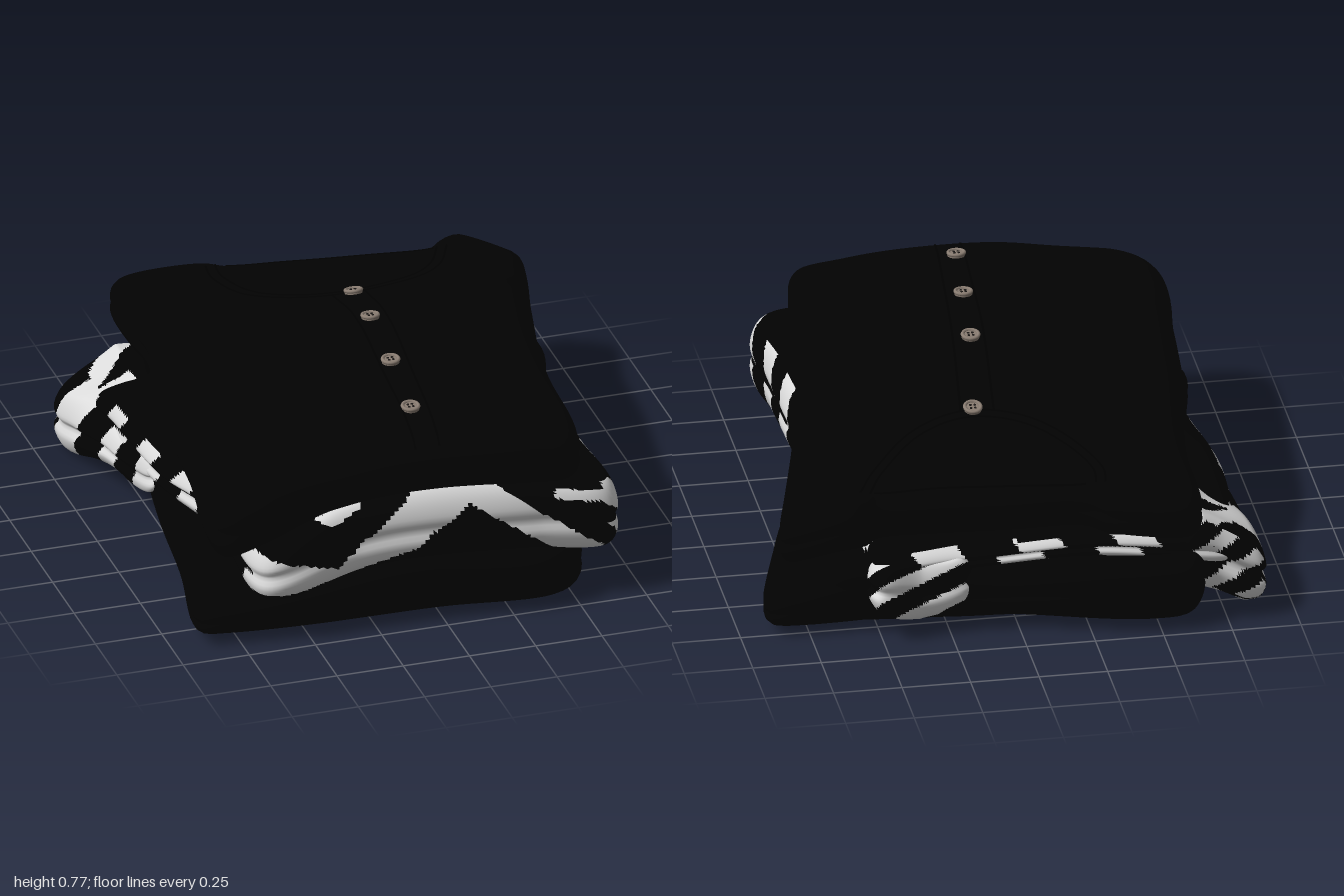
import * as THREE from 'three';

const mat = (name, color) => Object.assign(new THREE.MeshStandardMaterial({ color }), { name });
const step = THREE.MathUtils.smoothstep;

// piecewise linear lookup in a short list of [position, value]
function lookup(list, t) {
  if (t <= list[0][0]) return list[0][1];
  for (let i = 1; i < list.length; i++) {
    const [a, va] = list[i - 1], [b, vb] = list[i];
    if (t <= b) return va + (vb - va) * (t - a) / (b - a);
  }
  return list[list.length - 1][1];
}

// heights of the draped fabric layers
const acrossX = [[-0.85, 0.55], [-0.7, 0.645], [-0.4, 0.7], [-0.2, 0.745], [0, 0.765], [0.2, 0.735], [0.4, 0.69], [0.6, 0.66], [0.7, 0.6], [0.86, 0.51]];
const alongZ = [[-1, 0.56], [-0.6, 0.585], [-0.3, 0.675], [-0.1, 0.735], [0.15, 0.765], [0.4, 0.75], [0.7, 0.735], [0.85, 0.71], [0.95, 0.67]];
const soft = (list, t) => [-0.06, -0.03, 0, 0.03, 0.06].reduce((s, d) => s + lookup(list, t + d) / 5, 0);
const drop = (x, z) => Math.hypot(0.765 - soft(acrossX, x), 0.765 - soft(alongZ, z));
const ripple = (x, z) => 0.006 * Math.sin(7 * x + 3 * z) + 0.005 * Math.sin(9 * z - 4 * x + 1);
const shoulder = (x, z) => 0.035 * step(x, 0.54, 0.64) * step(-z, 0.5, 0.75);
const upperTop = (x, z) => 0.763 - drop(x, z) + ripple(x, z) * 0.6 + shoulder(x, z);
const upperBase = (x, z) => 0.55 - 0.85 * drop(x, z) + ripple(x, z) - 0.08 * step(-x, 0.4, 0.8) * step(z, -0.6, 0.2);
const lowerTop = (x, z) => 0.31 - 0.14 * x * x - 0.07 * z * z + ripple(x, z);
const middleTop = (x, z) => upperBase(x, z) + 0.015 - 0.07 * step(-z, 0.3, 0.7);

// cushion of folded cloth: outline runs counterclockwise from above, rim is rounded with a fold groove
function foldedCloth({ outline, centre = [0, 0], top, base, rim, groove, sides, isLight }) {
  const curve = new THREE.CatmullRomCurve3(outline.map(([x, z]) => new THREE.Vector3(x, 0, z)), true);
  const edge = curve.getSpacedPoints(sides).slice(0, sides);
  const rings = [];
  for (let i = 0; i < 14; i++) rings.push({ s: i / 14, inset: rim, f: 1 });
  for (let i = 0; i <= 28; i++) {
    const a = Math.PI * (0.5 - i / 28), f = 0.5 + 0.5 * Math.sin(a);
    const inset = rim * (1 - Math.pow(Math.cos(a) + 1e-9, 0.8)) + groove * Math.exp(-(((f - 0.5) / 0.1) ** 2));
    rings.push({ s: 1, inset, f });
  }
  for (let i = 7; i >= 0; i--) rings.push({ s: i / 8, inset: rim, f: 0 });

  const pos = [];
  for (const { s, inset, f } of rings) {
    for (const p of edge) {
      const dx = p.x - centre[0], dz = p.z - centre[1], len = Math.hypot(dx, dz);
      const k = s * (len - inset) / len;
      const x = centre[0] + dx * k, z = centre[1] + dz * k;
      const lo = base(x, z), hi = Math.max(top(x, z), lo + 0.04);
      pos.push(x, lo + (hi - lo) * f, z);
    }
  }
  const dark = [], light = [];
  const mid = (t, c) => (pos[t[0] * 3 + c] + pos[t[1] * 3 + c] + pos[t[2] * 3 + c]) / 3;
  for (let i = 0; i < rings.length - 1; i++) {
    for (let j = 0; j < sides; j++) {
      const n = (j + 1) % sides;
      const a = i * sides + j, b = a + sides, c = (i + 1) * sides + n, d = i * sides + n;
      for (const t of [[a, b, c], [a, c, d]]) {
        (isLight && isLight(mid(t, 0), mid(t, 1), mid(t, 2)) ? light : dark).push(...t);
      }
    }
  }
  const g = new THREE.BufferGeometry();
  g.setAttribute('position', new THREE.Float32BufferAttribute(pos, 3));
  g.setIndex(dark.concat(light));
  g.addGroup(0, dark.length, 0);
  if (light.length) g.addGroup(dark.length, light.length, 1);
  g.computeVertexNormals();
  return g;
}

// chevron on the front fold, two rows of slanted bands around the other sides
const bandUpper = [[-0.7, 0.36], [-0.4, 0.27], [-0.1, 0.51], [0.2, 0.5], [0.43, 0.33], [0.62, 0.2]];
const bandLower = [[-0.7, 0.2], [-0.55, 0.2], [-0.3, 0.24], [-0.1, 0.3], [0.1, 0.45], [0.42, 0.22], [0.62, 0.18]];
const fract = t => t - Math.floor(t);
function chevron(x, y, z) {
  if (z > 0.87 && x < 0.6) {
    if (y > lookup(bandLower, x) && y < lookup(bandUpper, x)) return true;
    return y > 0.435 + 0.4 * Math.abs(x + 0.41) && x < -0.3 || (x > 0.42 && y > 0.5 - 0.18 * x && y < 0.53 - 0.17 * x);
  }
  const hi = middleTop(x, z), lo = lowerTop(x, z), h = (y - lo) / (hi - lo);
  if (h > (x > 0 ? 0.985 : 0.9) || Math.abs(h - 0.45) < 0.04) return false;
  const along = z < -0.78 ? x * 0.8 : z;
  return fract((along - (h > 0.45 ? 0.8 * (y - lo) - 0.09 : 0.5 * (y - lo)) - 0.21) / 0.29) < 0.45;
}
function sleeveBands(x, y, z) {
  if (z < -0.79) return fract((y + 0.5 * x) / 0.14) < 0.45;
  const t = z + 0.35 * (0.25 - y);
  if (z > -0.46) return x < -0.79 && (Math.abs(t + 0.29) < 0.06 || Math.abs(t + 0.02) < 0.06);
  if (x < -0.8) return t > -0.7 && t < -0.52;
  return Math.abs(z + 0.62 + 0.9 * (x + 0.85)) < 0.06 || (x < -0.69 && Math.abs(z + 0.55) < 0.045);
}
const cuffBands = (x, y, z) => fract((y + 0.5 * x + 0.8 * z) / 0.15) < 0.45;

export function createModel() {
  const model = new THREE.Group();
  model.name = 'foldedShirts';
  const black = mat('blackCloth', 0x020202);
  const seamBlack = mat('seamBlack', 0x000000);
  const white = mat('whiteStripe', 0xdadada);
  const horn = mat('buttonHorn', 0x8a7d72);
  const hole = mat('buttonHole', 0x1c1917);
  const add = (name, geometry, material, parent = model) => {
    const m = new THREE.Mesh(geometry, material);
    m.name = name;
    parent.add(m);
    return m;
  };

  // bottom plain shirt and the roll of cloth behind it
  add('bottomShirt', foldedCloth({
    outline: [[-0.91, 0.82], [-0.9, 0.885], [-0.82, 0.91], [-0.5, 0.95], [0, 0.97], [0.42, 1], [0.53, 0.92], [0.6, 0.4], [0.68, 0.05], [0.81, -0.35],
      [0.91, -0.7], [0.9, -0.77], [0.8, -0.79], [0.4, -0.79], [0, -0.8], [-0.5, -0.82], [-0.66, -0.8], [-0.7, -0.5], [-0.8, 0.1], [-0.85, 0.5]],
    top: lowerTop, base: () => 0.03, rim: 0.08, groove: 0.01, sides: 180,
  }), [black]);
  add('bottomCollarRoll', foldedCloth({
    outline: [[-0.66, -0.6], [0, -0.6], [0.7, -0.6], [0.72, -0.74], [0.3, -0.83], [-0.1, -0.9], [-0.5, -0.98], [-0.64, -0.95]],
    centre: [0, -0.72],
    top: (x, z) => 0.24 + ripple(x, z), base: () => 0.05, rim: 0.06, groove: 0.012, sides: 120,
  }), [black]);

  // striped shirt in the middle
  add('stripedShirt', foldedCloth({
    outline: [[-0.67, 0.96], [-0.3, 0.95], [0, 0.96], [0.35, 0.97], [0.65, 0.96], [0.665, 0.6], [0.66, 0.2], [0.62, -0.25], [0.54, -0.6],
      [0.5, -0.84], [0.2, -0.84], [-0.2, -0.84], [-0.6, -0.84], [-0.8, -0.78], [-0.84, -0.4], [-0.8, 0.1], [-0.72, 0.5]],
    top: middleTop, base: (x, z) => lowerTop(x, z) - 0.02, rim: 0.08, groove: 0.018, sides: 380, isLight: chevron,
  }), [black, white]);

  // striped sleeve hanging over the back corner, and the cuff at the other end
  add('stripedSleeve', foldedCloth({
    outline: [[-0.79, 0.02], [-0.66, -0.2], [-0.6, -0.5], [-0.6, -0.83], [-0.75, -0.82], [-0.9, -0.81], [-0.92, -0.74], [-0.87, -0.35]],
    centre: [-0.75, -0.52],
    top: (x, z) => 0.36 - 0.63 * Math.max(0, -x - 0.68) + ripple(x * 3, z * 3),
    base: (x, z) => 0.13 - 0.13 * step(-z, 0.2, 0.75) + 0.5 * Math.max(0, x + 0.83),
    rim: 0.08, groove: 0.03, sides: 240, isLight: sleeveBands,
  }), [black, white]);
  add('stripedCuff', foldedCloth({
    outline: [[0.18, -0.72], [0.5, -0.7], [0.55, -0.8], [0.52, -0.9], [0.36, -0.88], [0.18, -0.85]],
    centre: [0.36, -0.8],
    top: (x, z) => 0.29 + ripple(x * 3, z * 3), base: x => 0.06 + 0.3 * Math.abs(x - 0.36),
    rim: 0.06, groove: 0.02, sides: 140, isLight: cuffBands,
  }), [black, white]);

  // top buttoned shirt
  const shirt = add('topShirt', foldedCloth({
    outline: [[-0.82, 0.87], [-0.7, 0.93], [-0.4, 0.93], [0, 0.94], [0.35, 0.95], [0.51, 0.93], [0.555, 0.8], [0.585, 0.4], [0.64, 0.1], [0.74, -0.3],
      [0.85, -0.7], [0.86, -0.81], [0.81, -0.84], [0.6, -0.89], [0.54, -0.84], [0.3, -0.85], [0, -0.88], [-0.25, -0.91], [-0.33, -0.97],
      [-0.61, -1], [-0.65, -0.95], [-0.67, -0.5], [-0.74, -0.1], [-0.79, 0.4]],
    top: upperTop, base: upperBase, rim: 0.1, groove: 0.01, sides: 240,
  }), [black]);

  // drop details onto the top shirt
  const ray = new THREE.Raycaster();
  const land = (x, z) => {
    ray.set(new THREE.Vector3(x, 2, z), new THREE.Vector3(0, -1, 0));
    return ray.intersectObject(shirt)[0];
  };
  const seam = (name, pts) => {
    const flat = new THREE.CatmullRomCurve3(pts.map(([x, z]) => new THREE.Vector3(x, 0, z)));
    const path = flat.getSpacedPoints(28).map(p => land(p.x, p.z).point);
    add(name, new THREE.TubeGeometry(new THREE.CatmullRomCurve3(path), 80, 0.0045, 6), seamBlack);
  };
  const neck = [[-0.31, -0.87], [-0.32, -0.77], [-0.25, -0.57], [-0.1, -0.42], [0.1, -0.37], [0.32, -0.45], [0.5, -0.64], [0.57, -0.78]];
  seam('neckSeam', neck);
  seam('neckBindingSeam', neck.map(([x, z]) => [0.13 + (x - 0.13) * 0.92, -0.87 + (z + 0.87) * 0.93]));
  seam('backNeckSeam', [[-0.24, -0.86], [0.05, -0.82], [0.3, -0.79], [0.52, -0.78]]);
  seam('placketSeamRight', [[0.01, -0.38], [-0.04, 0.2], [-0.09, 0.9]]);
  seam('placketSeamLeft', [[0.13, -0.37], [0.06, 0.3], [0, 0.9]]);

  // four buttons down the placket
  for (const [x, z] of [[0.085, -0.365], [0.025, 0.015], [-0.01, 0.36], [-0.045, 0.7]]) {
    const hit = land(x, z);
    const button = new THREE.Group();
    button.name = 'button';
    button.position.copy(hit.point);
    button.quaternion.setFromUnitVectors(new THREE.Vector3(0, 1, 0), hit.face.normal);
    model.add(button);
    add('buttonDisc', new THREE.CylinderGeometry(0.034, 0.032, 0.016, 20), horn, button).position.y = 0.004;
    const rimRing = add('buttonRim', new THREE.TorusGeometry(0.029, 0.007, 8, 20), horn, button);
    rimRing.rotation.x = Math.PI / 2;
    rimRing.position.y = 0.011;
    for (let i = 0; i < 4; i++) {
      const a = Math.PI * (0.25 + i / 2);
      add('buttonHole', new THREE.CylinderGeometry(0.005, 0.005, 0.003, 8), hole, button)
        .position.set(0.011 * Math.cos(a), 0.0125, 0.011 * Math.sin(a));
    }
  }
  return model;
}
